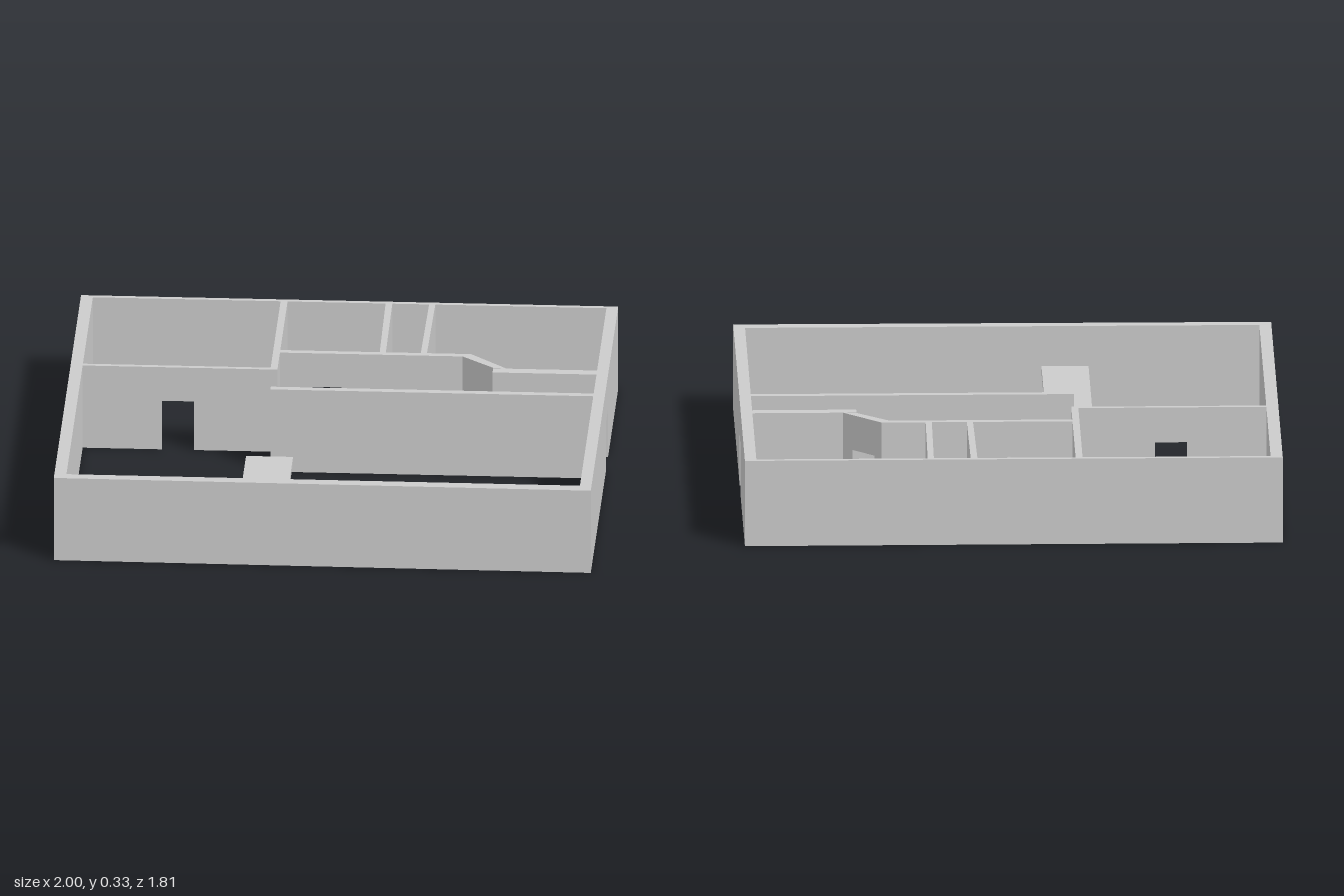
import * as THREE from 'three';

const WALL_H = 0.33;
const DOOR_H = 0.195;

export function createModel() {
  const group = new THREE.Group();
  const material = new THREE.MeshStandardMaterial({ color: 0xcccccc, flatShading: true });

  // Wall over a plan quad [x, z]: face a-b, opposite face d-c; door = [u0, u1] along its length
  function wall(name, a, b, c, d, door = null, y0 = 0, y1 = WALL_H) {
    const outline = [[0, y0]];
    if (door) outline.push([door[0], y0], [door[0], DOOR_H], [door[1], DOOR_H], [door[1], y0]);
    outline.push([1, y0], [1, y1], [0, y1]);
    const shape = new THREE.Shape(outline.map(([u, y]) => new THREE.Vector2(u, y)));
    const geometry = new THREE.ExtrudeGeometry(shape, { depth: 1, bevelEnabled: false });
    // Bend the unit elevation onto the plan quad
    const p = geometry.attributes.position;
    const lerp = THREE.MathUtils.lerp;
    for (let i = 0; i < p.count; i++) {
      const u = p.getX(i), v = p.getZ(i);
      p.setX(i, lerp(lerp(a[0], b[0], u), lerp(d[0], c[0], u), v));
      p.setZ(i, lerp(lerp(a[1], b[1], u), lerp(d[1], c[1], u), v));
    }
    geometry.computeVertexNormals();
    const mesh = new THREE.Mesh(geometry, material);
    mesh.name = name;
    group.add(mesh);
  }

  // Wall running along x
  const wallX = (name, x0, x1, z0, z1, ...rest) =>
    wall(name, [x0, z0], [x1, z0], [x1, z1], [x0, z1], ...rest);
  // Wall running along z
  const wallZ = (name, x0, x1, z0, z1, ...rest) =>
    wall(name, [x1, z0], [x1, z1], [x0, z1], [x0, z0], ...rest);

  // Outer walls; the front one is slightly skewed
  wallX('backWall', -1, 1, -0.907, -0.888);
  wall('frontWall', [-1, 0.852], [1, 0.858], [1, 0.905], [-1, 0.892]);
  wallZ('rightSideWall', -1, -0.955, -0.888, 0.852);
  wallZ('leftSideWall', 0.957, 1, -0.888, 0.858, [0.374, 0.449]);

  // Corner room
  wallX('cornerRoomWall', -0.955, -0.23, -0.235, -0.217, [0.407, 0.572]);
  wallZ('cornerRoomPartition', -0.256, -0.23, -0.888, -0.235);

  // Back rooms with two narrow partitions
  wall('backRoomsWall', [-0.23, -0.41], [0.48, -0.41], [0.45, -0.385], [-0.23, -0.385], [0.17, 0.338]);
  wall('partition1', [0.16, -0.888], [0.163, -0.41], [0.14, -0.41], [0.135, -0.888]);
  wall('partition2', [0.32, -0.888], [0.316, -0.41], [0.293, -0.41], [0.297, -0.888]);

  // Diagonal doorway and the hall wall beyond it
  wall('diagonalWall', [0.48, -0.41], [0.62, -0.275], [0.57, -0.28], [0.45, -0.385], [0.18, 0.75]);
  wallX('hallWall', 0.57, 0.957, -0.275, -0.235);

  // Long free-ended wall
  wallX('hallDivider', -0.245, 0.957, -0.049, -0.022);

  // Counter: slab on a thin upright
  wallZ('counterTop', -0.32, -0.145, 0.257, 0.855, null, 0.15, 0.175);
  wallZ('counterSupport', -0.245, -0.22, 0.29, 0.855, null, 0, 0.15);

  return group;
}
